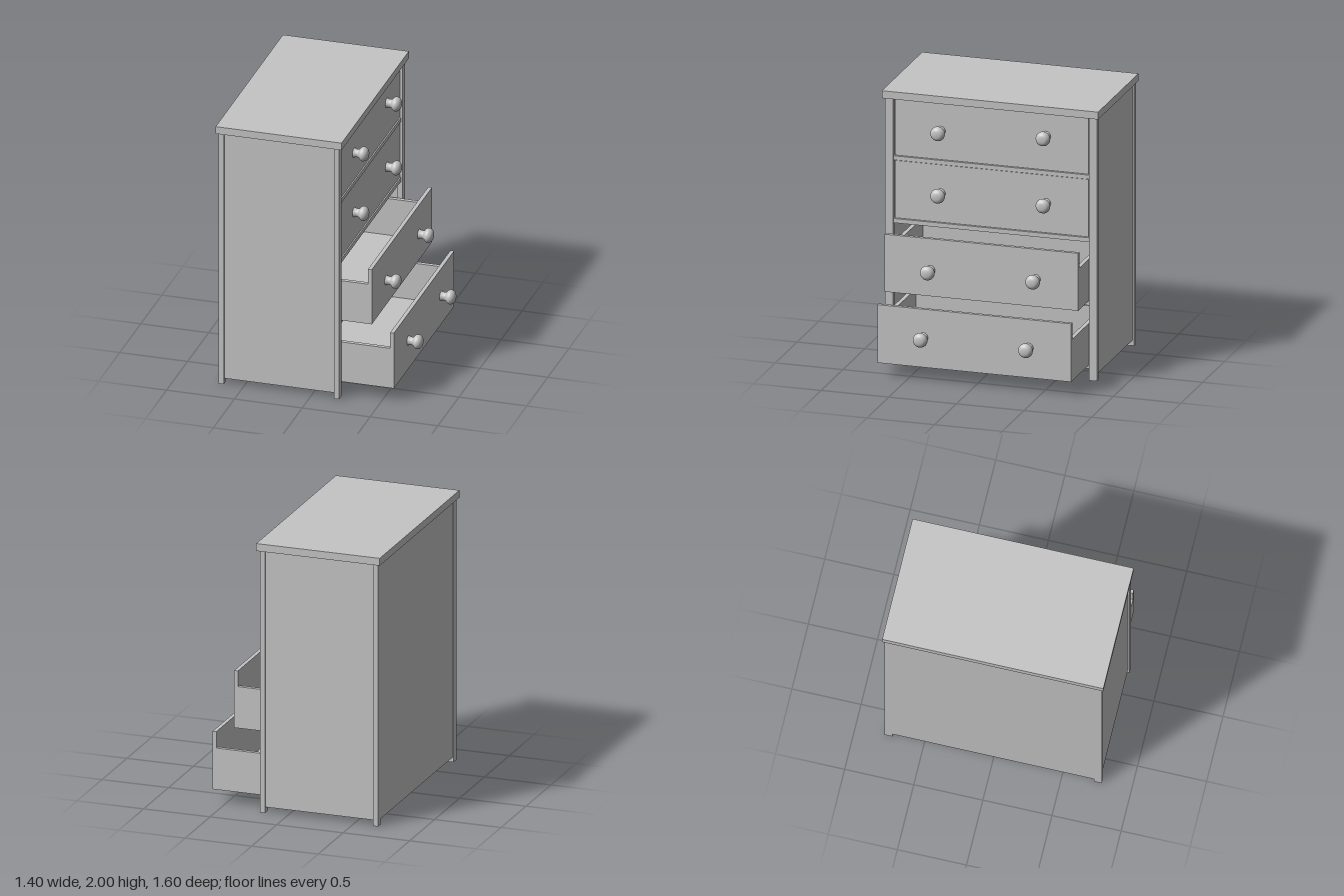
import * as THREE from 'three';

export function createModel() {
  const model = new THREE.Group();
  model.name = 'chestOfDrawers';
  const paint = new THREE.MeshStandardMaterial({ color: 0xc4c4c4 });
  paint.name = 'pale grey paint';

  // Box given by its limits on each axis
  function box(parent, name, x0, x1, y0, y1, z0, z1) {
    const mesh = new THREE.Mesh(new THREE.BoxGeometry(x1 - x0, y1 - y0, z1 - z0), paint);
    mesh.position.set((x0 + x1) / 2, (y0 + y1) / 2, (z0 + z1) / 2);
    mesh.name = name;
    parent.add(mesh);
  }

  // Cabinet: top, back and recessed bottom
  const cabinet = new THREE.Group();
  cabinet.name = 'cabinet';
  model.add(cabinet);
  box(cabinet, 'top', -0.7, 0.228, 1.945, 2, -0.8, 0.8);
  box(cabinet, 'backPanel', -0.68, -0.66, 0.04, 1.945, -0.73, 0.73);
  box(cabinet, 'bottomPanel', -0.66, 0.195, 0.085, 0.104, -0.75, 0.75);

  // Corner posts and side panels, mirrored
  for (const s of [-1, 1]) {
    const z = (a, b) => (s > 0 ? [a, b] : [-b, -a]);
    box(cabinet, 'backPost', -0.683, -0.645, 0, 1.945, ...z(0.728, 0.785));
    box(cabinet, 'frontPost', 0.168, 0.205, 0, 1.945, ...z(0.724, 0.785));
    box(cabinet, 'sidePanel', -0.645, 0.168, 0.04, 1.945, ...z(0.74, 0.772));
  }

  // Rails between the drawers
  for (const [y0, y1] of [[0.552, 0.58], [1.02, 1.052], [1.485, 1.516]])
    box(cabinet, 'rail', 0.165, 0.195, y0, y1, -0.726, 0.726);

  // Turned knob, pointing along +x
  const profile = new THREE.SplineCurve([
    [0.035, 0], [0.03, 0.02], [0.031, 0.04], [0.046, 0.052], [0.053, 0.07],
    [0.048, 0.088], [0.034, 0.102], [0.016, 0.107], [0, 0.108],
  ].map(([r, h]) => new THREE.Vector2(r, h))).getPoints(20);
  profile.forEach((p) => { p.x = Math.max(0, p.x); });
  const knobGeometry = new THREE.LatheGeometry(profile, 24).rotateZ(-Math.PI / 2);

  // Drawer: face, tray and two knobs; base is its lowest y
  function drawer(face, base, height, knobLeftY, knobRightY) {
    const g = new THREE.Group();
    g.name = 'drawer';
    const w = 0.716, t = 0.03, inner = face - 0.028, rear = face - 0.82, rim = base + 0.308;
    box(g, 'drawerFront', inner, face, base, base + height, -w, w);
    box(g, 'drawerFloor', rear + t, inner, base, base + 0.025, -w + t, w - t);
    box(g, 'drawerBack', rear, rear + t, base, rim, -w + t, w - t);
    box(g, 'drawerSide', rear, inner, base, rim, w - t, w);
    box(g, 'drawerSide', rear, inner, base, rim, -w, -w + t);
    for (const [y, z] of [[knobLeftY, 0.377], [knobRightY, -0.402]]) {
      const knob = new THREE.Mesh(knobGeometry, paint);
      knob.position.set(face, y, z);
      knob.name = 'knob';
      g.add(knob);
    }
    model.add(g);
  }
  drawer(0.588, 0.106, 0.43, 0.328, 0.328);
  drawer(0.425, 0.582, 0.425, 0.775, 0.785);
  drawer(0.188, 1.056, 0.425, 1.27, 1.275);
  drawer(0.188, 1.52, 0.423, 1.732, 1.772);

  return model;
}
